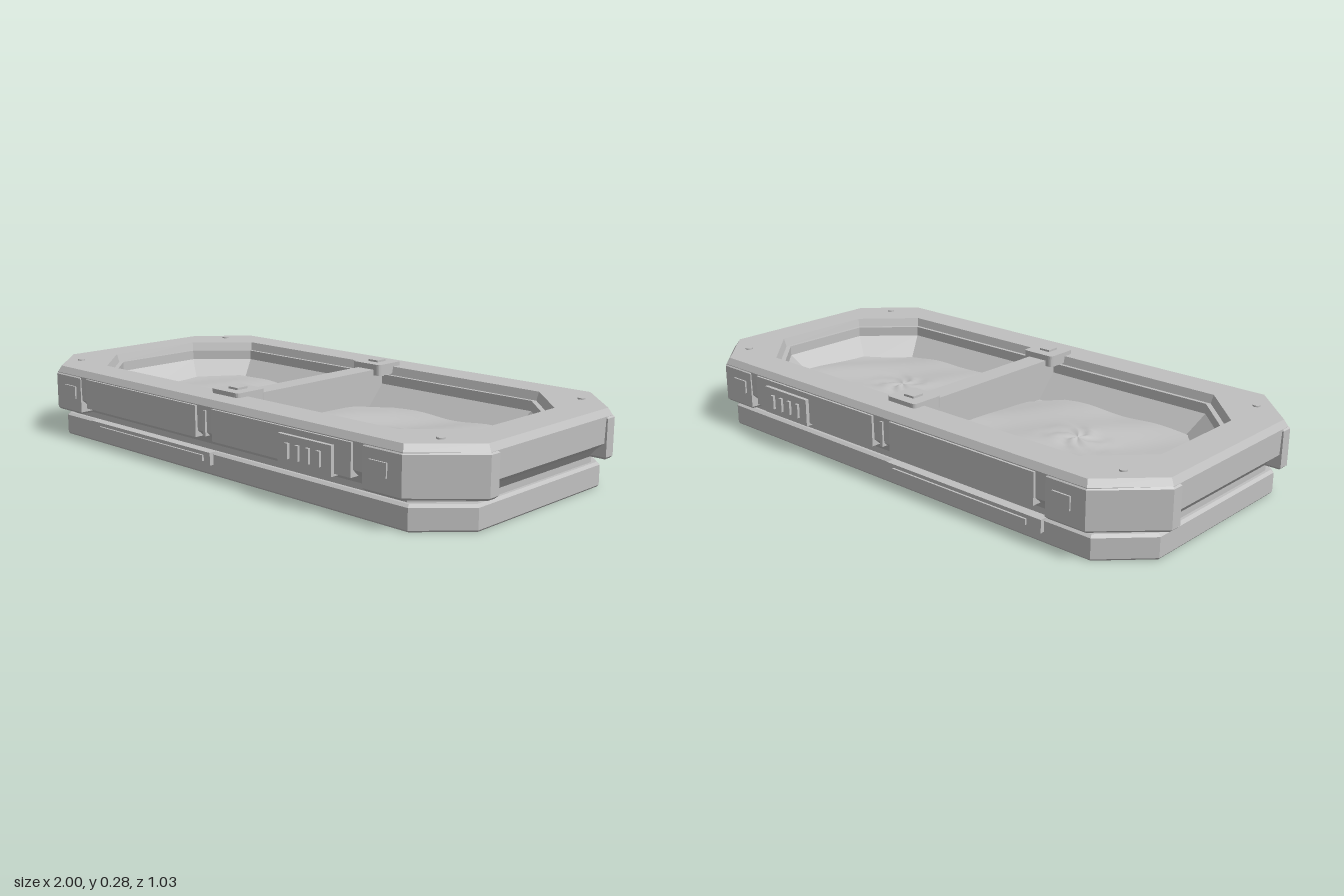
import * as THREE from 'three';

const shell = new THREE.MeshStandardMaterial({ color: 0xc0c0c0 });
shell.name = 'light grey';

// Corners of a rectangle with cut corners, at height y
function octagon([hx, hz, c, y]) {
  return [
    [hx, hz - c], [hx - c, hz], [c - hx, hz], [-hx, hz - c],
    [-hx, c - hz], [c - hx, -hz], [hx - c, -hz], [hx, c - hz],
  ].map(([x, z]) => [x, y, z]);
}

// Flat-faced skin through octagonal rings [halfX, halfZ, cut, y], capped at both ends
function loft(rings) {
  const loops = rings.map(octagon);
  const pos = [];
  const tri = (...p) => p.forEach((v) => pos.push(...v));
  for (let i = 0; i < loops.length - 1; i++) {
    for (let j = 0; j < 8; j++) {
      const k = (j + 1) % 8;
      const a = loops[i][j], b = loops[i][k], c = loops[i + 1][j], d = loops[i + 1][k];
      tri(a, c, b);
      tri(b, c, d);
    }
  }
  const lo = loops[0], hi = loops[loops.length - 1];
  for (let j = 1; j < 7; j++) {
    tri(lo[0], lo[j], lo[j + 1]);
    tri(hi[0], hi[j + 1], hi[j]);
  }
  const g = new THREE.BufferGeometry();
  g.setAttribute('position', new THREE.Float32BufferAttribute(pos, 3));
  g.computeVertexNormals();
  return g;
}

// Uneven soil surface: rings of points shrinking to a clump in the middle
function soilGeometry(hx, hz, cut, phase) {
  const rings = 12, seg = 56, pos = [], idx = [];
  for (let i = 0; i <= rings; i++) {
    for (let j = 0; j < seg; j++) {
      const t = (j / seg) * Math.PI * 2;
      const c = Math.abs(Math.cos(t)), s = Math.abs(Math.sin(t));
      const edge = Math.min(hx / Math.max(c, 1e-6), hz / Math.max(s, 1e-6), (hx + hz - cut) / (c + s));
      const r = edge * i / rings;
      const x = r * Math.cos(t), z = r * Math.sin(t);
      const wave = 0.008 * Math.sin(9 * x + phase) * Math.cos(8 * z - phase)
        + 0.004 * Math.sin(21 * x + 13 * z + phase);
      const clump = i > 0 && i < 4 ? 0.004 * Math.sin(5 * t + i * 2 + phase) : 0;
      pos.push(x, 0.135 + wave + clump, z);
    }
  }
  for (let i = 0; i < rings; i++) {
    for (let j = 0; j < seg; j++) {
      const k = (j + 1) % seg;
      const a = i * seg + j, b = i * seg + k, c = a + seg, d = b + seg;
      idx.push(a, b, c, b, d, c);
    }
  }
  const g = new THREE.BufferGeometry();
  g.setAttribute('position', new THREE.Float32BufferAttribute(pos, 3));
  g.setIndex(idx);
  g.computeVertexNormals();
  return g;
}

// Wrap-around guard for the corner in quadrant (sx, sz)
function guardGeometry(sx, sz) {
  const outline = [[0.68, 0.49], [0.825, 0.49], [1, 0.32], [1, 0.28],
    [0.93, 0.28], [0.93, 0.3], [0.8, 0.43], [0.68, 0.43]];
  const shape = new THREE.Shape(outline.map(([x, z]) => new THREE.Vector2(x * sx, -z * sz)));
  const b = 0.008;
  const g = new THREE.ExtrudeGeometry(shape, {
    depth: 0.14 - 2 * b, bevelThickness: b, bevelSize: b, bevelOffset: -b, bevelSegments: 1,
  });
  return g.rotateX(-Math.PI / 2).translate(0, 0.1 + b, 0);
}

export function createModel() {
  const model = new THREE.Group();
  model.name = 'planterTray';
  const add = (name, geometry, parent = model) => {
    const mesh = new THREE.Mesh(geometry, shell);
    mesh.name = name;
    parent.add(mesh);
    return mesh;
  };
  // Box given by its limits on each axis
  const block = (name, [x0, x1], [y0, y1], [z0, z1], parent) => {
    const mesh = add(name, new THREE.BoxGeometry(x1 - x0, y1 - y0, Math.abs(z1 - z0)), parent);
    mesh.position.set((x0 + x1) / 2, (y0 + y1) / 2, (z0 + z1) / 2);
    return mesh;
  };

  // Base slab
  add('base', loft([[0.955, 0.45, 0.137, 0], [0.96, 0.455, 0.14, 0.006],
    [0.96, 0.455, 0.14, 0.072], [0.95, 0.445, 0.135, 0.08]]));

  // Body: undercut neck, outer wall, top rim, stepped lip and sloping basin
  add('body', loft([
    [0.94, 0.435, 0.14, 0.075], [0.94, 0.435, 0.14, 0.1], [0.965, 0.46, 0.155, 0.13],
    [0.992, 0.484, 0.17, 0.152], [0.995, 0.486, 0.17, 0.238], [0.982, 0.474, 0.165, 0.26],
    [0.865, 0.36, 0.17, 0.26], [0.858, 0.353, 0.168, 0.23], [0.845, 0.34, 0.165, 0.23],
    [0.845, 0.34, 0.165, 0.195], [0.77, 0.262, 0.13, 0.11],
  ]));

  // Corner guards and rim bolts
  for (const sx of [-1, 1]) {
    for (const sz of [-1, 1]) {
      add('cornerGuard', guardGeometry(sx, sz));
      const bolt = add('rimBolt', new THREE.CylinderGeometry(0.013, 0.013, 0.006, 12));
      bolt.position.set(0.855 * sx, 0.262, 0.36 * sz);
    }
  }

  // Soil beds
  [-1, 1].forEach((s) => {
    const soil = add(s < 0 ? 'rightSoil' : 'leftSoil', soilGeometry(0.375, 0.278, 0.11, s < 0 ? 0.6 : 2.1));
    soil.position.x = 0.413 * s;
  });

  // Divider across the basin, with a capping bar
  block('divider', [-0.03, 0.03], [0.1, 0.235], [-0.345, 0.345]);
  block('dividerBar', [-0.038, 0.038], [0.225, 0.255], [-0.36, 0.36]);

  // Details repeated on the front and back
  for (const s of [1, -1]) {
    const side = new THREE.Group();
    side.name = s > 0 ? 'frontDetails' : 'backDetails';
    model.add(side);
    const put = (name, x, y, z0, z1) => block(name, x, y, [s * z0, s * z1], side);

    // Clip holding the divider bar
    const clip = new THREE.Shape();
    clip.moveTo(-0.05, -0.06).lineTo(0.05, -0.06).quadraticCurveTo(0.065, -0.06, 0.065, -0.045);
    clip.lineTo(0.065, 0.045).quadraticCurveTo(0.065, 0.06, 0.05, 0.06);
    clip.lineTo(-0.05, 0.06).quadraticCurveTo(-0.065, 0.06, -0.065, 0.045);
    clip.lineTo(-0.065, -0.045).quadraticCurveTo(-0.065, -0.06, -0.05, -0.06);
    const clipMesh = add('barClip', new THREE.ExtrudeGeometry(clip,
      { depth: 0.04, bevelEnabled: false, curveSegments: 4 }).rotateX(-Math.PI / 2), side);
    clipMesh.position.set(0, 0.235, 0.343 * s);
    put('clipButton', [-0.022, 0.022], [0.27, 0.282], 0.322, 0.366);

    // Side panels with a rib between them
    for (const [x0, x1] of [[-0.64, -0.04], [0.04, 0.64]]) {
      put('sidePanel', [x0, x1], [0.13, 0.235], 0.46, 0.494);
    }
    put('centreRib', [-0.006, 0.006], [0.14, 0.225], 0.46, 0.492);

    // Vent box with slats
    put('ventBox', [0.355, 0.575], [0.122, 0.216], 0.47, 0.507);
    for (let i = 0; i < 4; i++) {
      const x = 0.398 + i * 0.0435;
      put('ventSlat', [x - 0.007, x + 0.007], [0.145, 0.193], 0.5, 0.516);
    }

    // Small plates on the guards
    for (const x of [-0.74, 0.74]) {
      put('guardPlate', [x - 0.033, x + 0.033], [0.155, 0.2], 0.485, 0.496);
    }

    // Rail on the base
    put('baseRail', [-0.65, 0], [0.037, 0.08], 0.44, 0.47);
    put('railStrip', [-0.595, -0.03], [0.048, 0.068], 0.46, 0.477);
  }
  return model;
}
